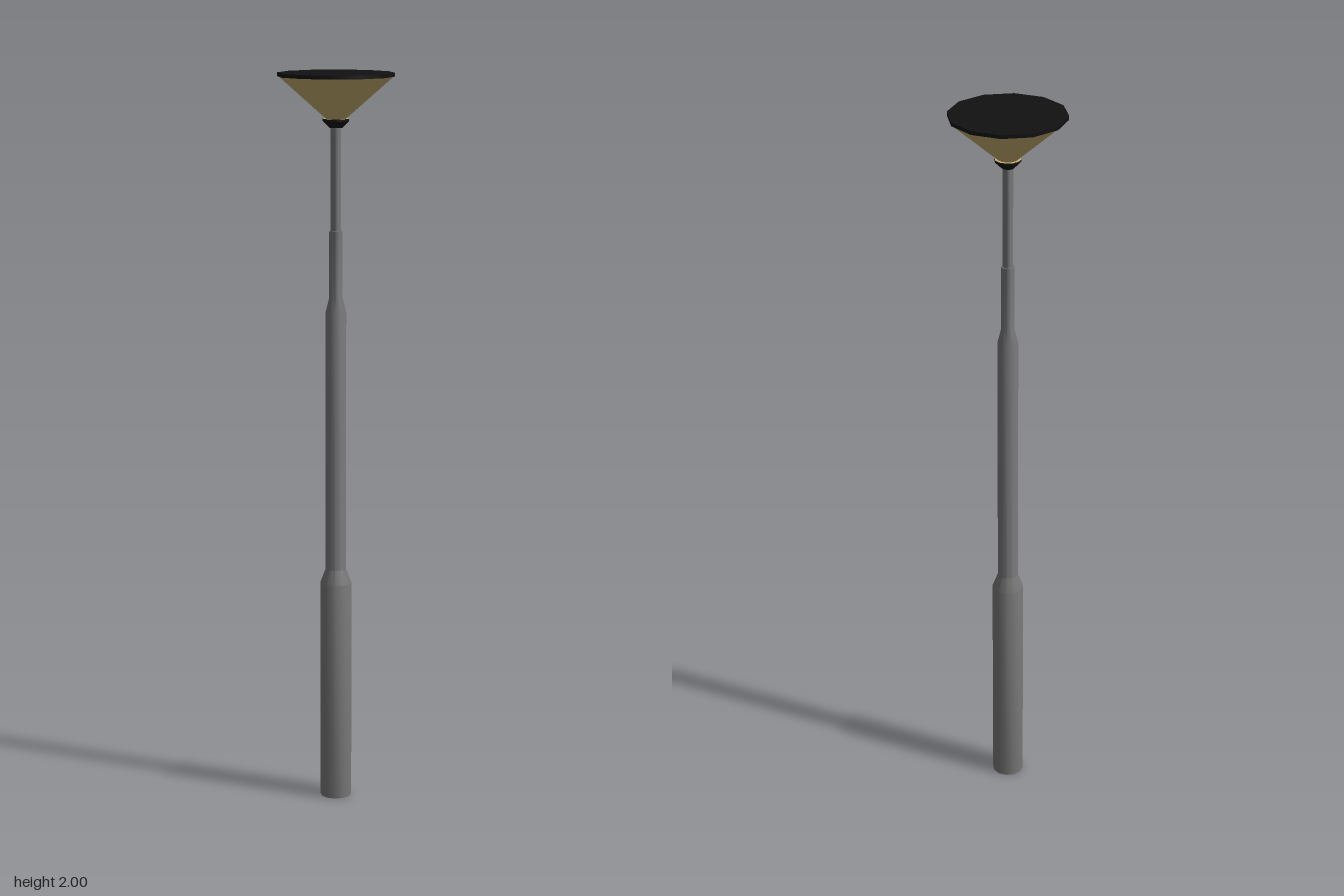
import * as THREE from 'three';
import { toCreasedNormals } from 'three/addons/utils/BufferGeometryUtils.js';

const SIDES = 12;

// Revolve a [radius, height] profile, listed from bottom to top
function turned(name, profile, color) {
  const points = profile.map(([r, y]) => new THREE.Vector2(r, y));
  const geometry = toCreasedNormals(new THREE.LatheGeometry(points, SIDES), 0.6);
  const material = new THREE.MeshStandardMaterial({ color, side: THREE.DoubleSide });
  const mesh = new THREE.Mesh(geometry, material);
  mesh.name = name;
  return mesh;
}

export function createModel() {
  const lamp = new THREE.Group();
  lamp.name = 'streetLamp';

  // Stepped pole, narrowing at each shoulder
  lamp.add(turned('pole', [
    [0, 0], [0.043, 0], [0.043, 0.61],
    [0.028, 0.65], [0.028, 1.36],
    [0.018, 1.40], [0.018, 1.58],
    [0.014, 1.58], [0.014, 1.87],
  ], 0x777777));

  // Dark cup that carries the shade
  lamp.add(turned('collar', [
    [0, 1.855], [0.017, 1.855], [0.035, 1.873], [0.035, 1.879],
  ], 0x111111));

  // Conical glass with a narrow ledge over the collar
  lamp.add(turned('shade', [
    [0.035, 1.879], [0.027, 1.879], [0.153, 1.99],
  ], 0xc8b070));

  // Flat lid
  lamp.add(turned('lid', [
    [0, 1.99], [0.156, 1.99], [0.156, 2], [0, 2],
  ], 0x111111));

  return lamp;
}
